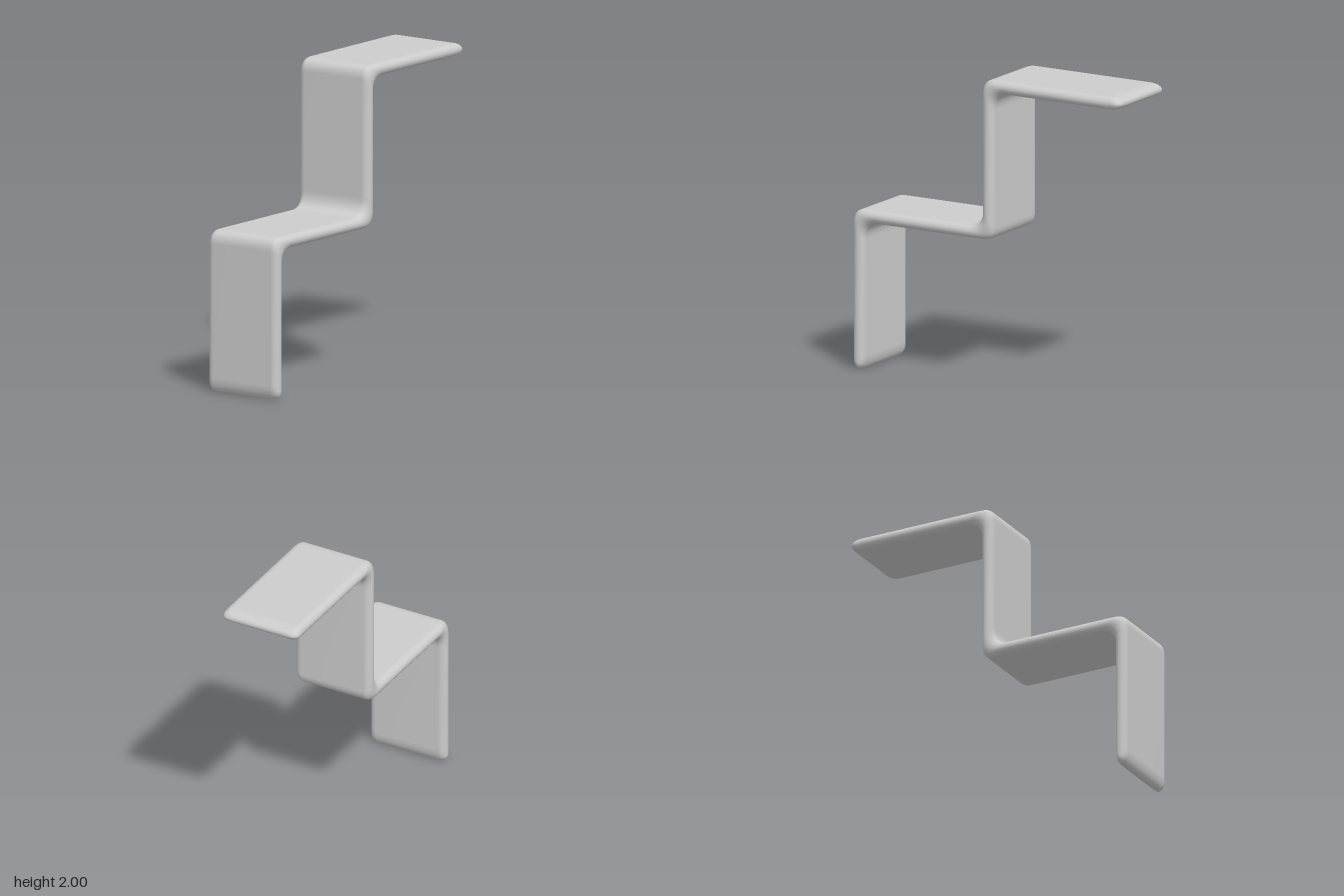
import * as THREE from 'three';
import { mergeVertices } from 'three/addons/utils/BufferGeometryUtils.js';

const HALF_WIDTH = 0.275, EDGE = 0.05, TIP = 0.09, CORNER = 0.05;
const OUTER = 0.085, INNER = 0.11; // fillet lengths of convex and concave bends

// A point on the fillet at a corner; t runs 0..1 from the incoming to the outgoing side
function fillet(x, y, r, rising, t) {
  const a = rising ? [x, y - r] : [x - r, y];
  const b = rising ? [x + r, y] : [x, y + r];
  return new THREE.QuadraticBezierCurve(
    new THREE.Vector2(...a), new THREE.Vector2(x, y), new THREE.Vector2(...b)
  ).getPoint(t);
}

// Stations along the strip: upper rail, lower rail, thickness factor, half width
function makeStations() {
  const list = [];
  const tip = (k) => {
    const a = (k / 10) * Math.PI / 2;
    const s = TIP * (1 - Math.cos(a));
    const c = Math.max(0, 1 - s / CORNER);
    return { s, f: Math.pow(Math.sin(a), 0.9), w: HALF_WIDTH - CORNER * (1 - Math.sqrt(1 - c * c)) };
  };

  // rounded foot
  for (let k = 0; k <= 10; k++) {
    const { s, f, w } = tip(k);
    list.push({ u: new THREE.Vector2(-1, s), l: new THREE.Vector2(-0.915, s), f, w });
  }
  // three bends
  const bends = [
    [-1, 1.04, -0.915, 0.955, true],
    [-0.035, 1.04, 0.05, 0.955, false],
    [-0.035, 2, 0.05, 1.915, true],
  ];
  for (const [ux, uy, lx, ly, rising] of bends) {
    for (let k = 0; k <= 10; k++) {
      list.push({
        u: fillet(ux, uy, rising ? OUTER : INNER, rising, k / 10),
        l: fillet(lx, ly, rising ? INNER : OUTER, rising, k / 10),
        f: 1, w: HALF_WIDTH,
      });
    }
  }
  // rounded free end of the top shelf
  for (let k = 10; k >= 0; k--) {
    const { s, f, w } = tip(k);
    list.push({ u: new THREE.Vector2(1 - s, 2), l: new THREE.Vector2(1 - s, 1.915), f, w });
  }
  return list;
}

// Sweep a flat cross-section with rounded sides through all stations
function stripGeometry() {
  const arc = 10, ring = 2 * (arc + 1);
  const stations = makeStations();
  const positions = [], indices = [];
  stations.forEach(({ u, l, f, w }, i) => {
    for (let j = 0; j < ring; j++) {
      const back = j > arc;
      const k = back ? j - arc - 1 : j;
      const a = (k / arc - 0.5) * Math.PI;
      const h = (back ? -1 : 1) * Math.sin(a) * f;
      const z = (back ? -1 : 1) * (w - EDGE + EDGE * Math.cos(a));
      const p = l.clone().lerp(u, 0.5 + h / 2);
      positions.push(p.x, p.y, z);
      if (i < stations.length - 1) {
        const n = (j + 1) % ring;
        const A = i * ring + j, B = A + ring, C = i * ring + n, D = C + ring;
        indices.push(A, B, C, B, D, C);
      }
    }
  });
  const g = new THREE.BufferGeometry();
  g.setAttribute('position', new THREE.Float32BufferAttribute(positions, 3));
  g.setIndex(indices);
  const merged = mergeVertices(g, 1e-5);
  merged.computeVertexNormals();
  return merged;
}

export function createModel() {
  const model = new THREE.Group();
  model.name = 'steppedShelf';
  const grey = new THREE.MeshStandardMaterial({ color: 0xcccccc });
  grey.name = 'light grey';

  // one continuous bent strip: leg, lower shelf, riser, upper shelf
  const strip = new THREE.Mesh(stripGeometry(), grey);
  strip.name = 'bentStrip';
  model.add(strip);
  return model;
}
